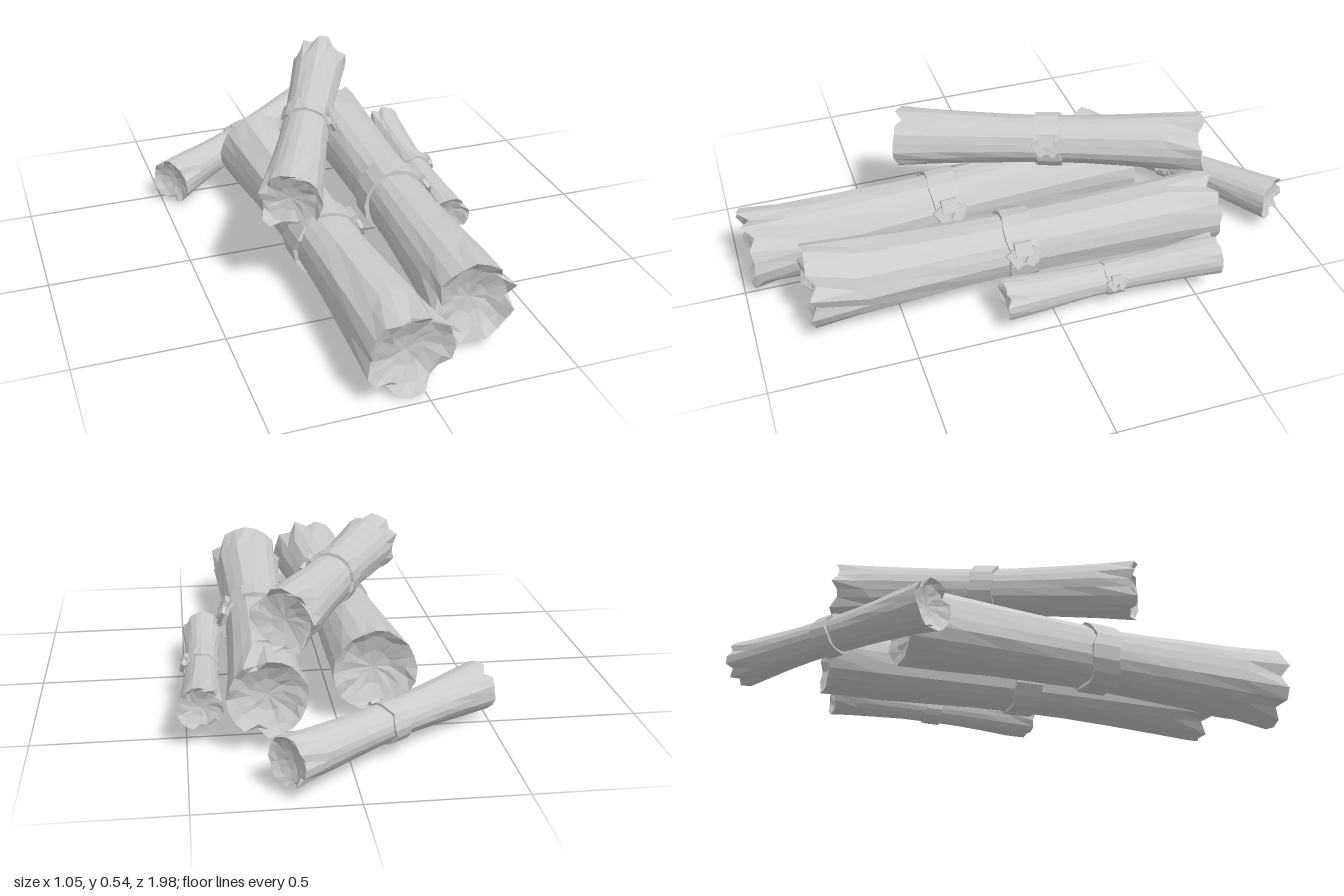
import * as THREE from 'three';

const material = new THREE.MeshStandardMaterial({ color: 0xcccccc, flatShading: true, side: THREE.DoubleSide });

// small seeded generator so every log is uneven in its own, repeatable way
function seeded(seed) {
  let s = seed * 7919 + 17;
  return () => {
    s = (s * 16807) % 2147483647;
    return s / 2147483647;
  };
}

// skin a stack of rings; point(row, angle, column) gives the [radius, z] of a vertex
function skin(rows, sides, point) {
  const pos = [], index = [];
  for (let i = 0; i < rows; i++) {
    for (let j = 0; j < sides; j++) {
      const a = (j / sides) * Math.PI * 2;
      const [r, z] = point(i, j);
      pos.push(Math.cos(a) * r, Math.sin(a) * r, z);
      if (i === rows - 1) continue;
      const k = (j + 1) % sides;
      const p = i * sides + j, q = i * sides + k;
      index.push(p, q, q + sides, p, q + sides, p + sides);
    }
  }
  const g = new THREE.BufferGeometry();
  g.setAttribute('position', new THREE.Float32BufferAttribute(pos, 3));
  g.setIndex(index);
  g.computeVertexNormals();
  return g;
}

// waisted log with splintered rims and hollowed ends, lying along z
function logGeometry(length, rBack, rMid, rFront, rand) {
  const sides = 20, steps = 8, half = length / 2;
  const streak = Array.from({ length: sides }, () => 1 + (rand() - 0.5) * 0.06);
  const radiusAt = (t) => {
    const u = 2 * t - 1;
    return rMid + ((u < 0 ? rBack : rFront) - rMid) * Math.abs(u) ** 1.7;
  };
  // profile: back hollow, outer side, front hollow
  const hollow = [[0, 0.42], [0.4, 0.36], [0.78, 0.22]];
  const profile = [];
  hollow.forEach(([k, d]) => profile.push({ r: k * rBack, z: -half + d * rBack, inner: k }));
  for (let i = 0; i <= steps; i++) {
    const t = i / steps;
    profile.push({ r: radiusAt(t), z: (t - 0.5) * length, rim: i === 0 ? 1 : i === steps ? -1 : 0 });
  }
  [...hollow].reverse().forEach(([k, d]) => profile.push({ r: k * rFront, z: half - d * rFront, inner: k }));

  return skin(profile.length, sides, (i, j) => {
    const p = profile[i];
    if (p.inner === 0) return [0, p.z];
    if (p.inner) return [p.r * (1 + (rand() - 0.5) * 0.16), p.z + (rand() - 0.5) * 0.12 * p.r];
    if (p.rim) {
      // some rim points are split back or curled inward
      const split = rand() < 0.28;
      return [p.r * (split ? 0.86 : 0.97 + rand() * 0.06), p.z + p.rim * p.r * (split ? 0.26 : rand() * 0.14)];
    }
    return [p.r * streak[j] * (1 + (rand() - 0.5) * 0.025), p.z + (rand() - 0.5) * 0.05 * length];
  });
}

// flat strap wrapped round the waist
function bandGeometry(r, width, rand) {
  const w = width / 2, inner = r * 0.92, outer = r * 1.14;
  const profile = [[inner, -w], [outer, -w], [outer, w], [inner, w]];
  const wobble = Array.from({ length: 16 }, () => [1 + (rand() - 0.5) * 0.04, (rand() - 0.5) * width * 0.2]);
  return skin(4, 16, (i, j) => [profile[i][0] * wobble[j][0], profile[i][1] + wobble[j][1]]);
}

function mesh(name, geometry) {
  const m = new THREE.Mesh(geometry, material);
  m.name = name;
  return m;
}

// one tied log between two end points; bandAt is measured along it from the middle
function tiedLog({ name, back, front, radii, band, bandAt = 0 }, seed) {
  const rand = seeded(seed + 3);
  const a = new THREE.Vector3(...back), b = new THREE.Vector3(...front);
  const dir = b.clone().sub(a);
  const length = dir.length();
  const [rBack, rMid, rFront] = radii;

  const group = new THREE.Group();
  group.name = name;
  group.position.copy(a).add(b).multiplyScalar(0.5);
  group.quaternion.setFromUnitVectors(new THREE.Vector3(0, 0, 1), dir.normalize());
  group.add(mesh('log', logGeometry(length, rBack, rMid, rFront, rand)));

  const strap = new THREE.Group();
  strap.name = 'strap';
  strap.position.z = bandAt;
  strap.add(mesh('band', bandGeometry(rMid, band, rand)));

  // knot on the upper right of the strap, with two loose ends
  const knot = new THREE.Group();
  knot.name = 'knot';
  knot.rotation.z = 0.5;
  const lump = mesh('knotLump', new THREE.BoxGeometry(0.025, band * 0.5, band * 0.6));
  lump.position.x = rMid * 1.14;
  knot.add(lump);
  for (const s of [-1, 1]) {
    const tail = mesh('knotEnd', new THREE.BoxGeometry(0.014, band * 0.65, band * 0.35));
    tail.position.set(rMid * 1.12, -band * 0.32, s * band * 0.32);
    tail.rotation.set(s * 0.55, 0, -0.15);
    knot.add(tail);
  }
  strap.add(knot);
  group.add(strap);
  return group;
}

export function createModel() {
  const model = new THREE.Group();
  model.name = 'logPile';
  const logs = [
    { name: 'largeLogRight', back: [-0.125, 0.18, -0.46], front: [-0.05, 0.15, 0.98],
      radii: [0.14, 0.11, 0.145], band: 0.1 },
    { name: 'largeLogLeft', back: [0.245, 0.185, -0.65], front: [0.225, 0.175, 0.82],
      radii: [0.128, 0.108, 0.143], band: 0.1 },
    { name: 'topLog', back: [0.203, 0.43, -0.63], front: [-0.24, 0.38, 0.37],
      radii: [0.107, 0.083, 0.108], band: 0.085 },
    { name: 'backLog', back: [0.22, 0.115, -0.935], front: [-0.475, 0.1, -0.42],
      radii: [0.08, 0.061, 0.085], band: 0.065 },
    { name: 'smallLog', back: [0.455, 0.135, -0.585], front: [0.425, 0.106, 0.185],
      radii: [0.074, 0.053, 0.075], band: 0.06 },
  ];
  logs.forEach((spec, i) => model.add(tiedLog(spec, i * 5 + 1)));
  return model;
}
